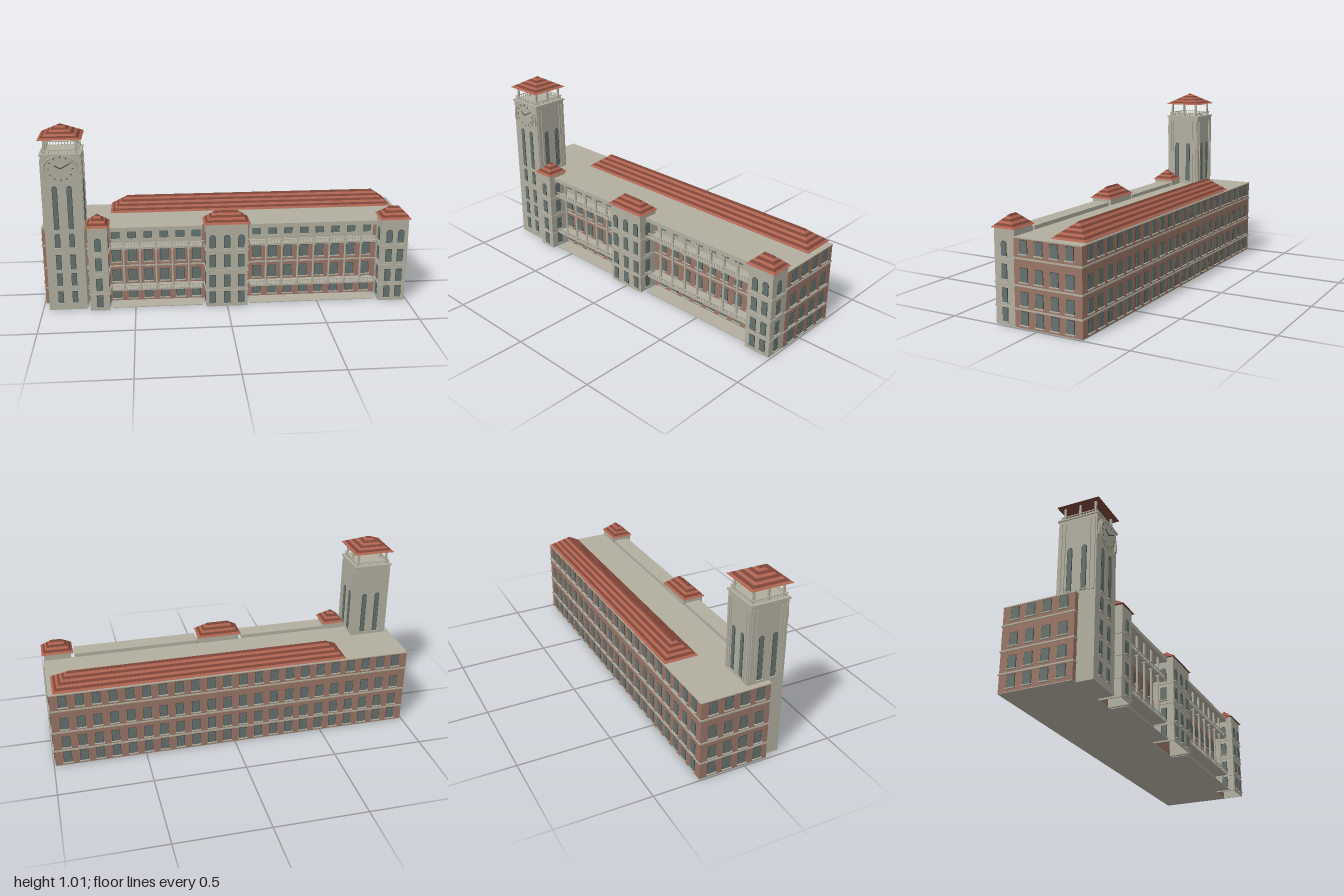
import * as THREE from 'three';
import { mergeGeometries } from 'three/addons/utils/BufferGeometryUtils.js';

const paint = (name, color, side = THREE.FrontSide) => {
  const m = new THREE.MeshStandardMaterial({ color, side });
  m.name = name;
  return m;
};

export function createModel() {
  const model = new THREE.Group();
  model.name = 'galleriedBuildingWithClockTower';
  const stone = paint('stone', 0xb2afa0), brick = paint('brick', 0x9a7767);
  const tile = paint('roofTile', 0xac6350, THREE.DoubleSide);
  const darkTile = paint('darkRoofTile', 0x7c4437, THREE.DoubleSide);
  const glass = paint('glass', 0x64736f), frame = paint('frame', 0x4b4a44);

  // Pieces sharing a part name are merged into one mesh
  const parts = new Map();
  const add = (name, mat, geo) => {
    const g = geo.index ? geo.toNonIndexed() : geo;
    g.deleteAttribute('uv');
    if (!parts.has(name)) parts.set(name, { mat, list: [] });
    parts.get(name).list.push(g);
  };
  // Box given by its limits
  const box = (name, mat, x0, x1, y0, y1, z0, z1) =>
    add(name, mat, new THREE.BoxGeometry(x1 - x0, y1 - y0, z1 - z0)
      .translate((x0 + x1) / 2, (y0 + y1) / 2, (z0 + z1) / 2));

  // Thin upright panel on its base line, square or round headed
  const panel = (w, h, depth, arched) => {
    const s = new THREE.Shape(), r = w / 2, top = arched ? h - r : h;
    s.moveTo(-r, 0).lineTo(r, 0).lineTo(r, top);
    if (arched) s.absarc(0, top, r, 0, Math.PI, false);
    else s.lineTo(-r, top);
    s.closePath();
    return new THREE.ExtrudeGeometry(s, { depth, bevelEnabled: false, curveSegments: 6 });
  };
  // turn 0 faces front, 1 faces +x, 2 faces back, 3 faces -x
  const windowAt = (turn, x, y, z, w, h, arched = false, sill = true) => {
    const place = g => g.rotateY(turn * Math.PI / 2).translate(x, y, z);
    add('windowFrames', frame, place(panel(w + 0.005, h + 0.003, 0.002, arched)));
    add('windowPanes', glass, place(panel(w, h, 0.004, arched)));
    if (sill) add('windowSills', stone, place(
      new THREE.BoxGeometry(w + 0.012, 0.005, 0.014).translate(0, -0.0025, 0.003)));
  };

  // Hipped roof in alternating tile courses
  const hipRoof = (name, x0, x1, z0, z1, y0, y1, inset, rows) => {
    const zc = (z1 - z0) / 2;
    const ring = t => {
      const y = y0 + (y1 - y0) * t, a = inset * t, b = zc * t;
      return [[x0 + a, y, z1 - b], [x1 - a, y, z1 - b], [x1 - a, y, z0 + b], [x0 + a, y, z0 + b]];
    };
    const quads = (list) => {
      const g = new THREE.BufferGeometry();
      const p = list.flatMap(([a, b, c, d]) => [a, b, c, a, c, d].flat());
      g.setAttribute('position', new THREE.Float32BufferAttribute(p, 3));
      g.computeVertexNormals();
      return g;
    };
    for (let i = 0; i < rows; i++) {
      const lo = ring(i / rows), hi = ring((i + 1) / rows);
      add(name + (i % 2 ? 'DarkCourses' : 'Courses'), i % 2 ? darkTile : tile,
        quads([0, 1, 2, 3].map(k => [lo[k], lo[(k + 1) % 4], hi[(k + 1) % 4], hi[k]])));
    }
    const e = ring(0);
    add(name + 'Soffit', darkTile, quads([[e[3], e[2], e[1], e[0]]]));
  };

  // Main block
  const X = 0.992, ZB = -0.25, ZF = 0.13;
  box('mainWalls', brick, -X, X, 0.003, 0.437, ZB, ZF);
  box('basePlate', stone, -X, X, 0, 0.003, ZB, ZF);
  box('flatRoof', stone, -X - 0.002, X + 0.002, 0.437, 0.442, ZB - 0.003, ZF + 0.002);
  for (const y of [0.095, 0.21, 0.342])
    box('stringCourses', stone, -X - 0.004, X + 0.004, y - 0.004, y + 0.004, ZB - 0.004, ZF + 0.004);
  hipRoof('mainRoof', -0.63, 0.97, -0.255, -0.065, 0.45, 0.525, 0.095, 8);
  box('roofCurb', stone, -0.6, 0.945, 0.44, 0.45, -0.245, -0.085);

  // Windows on the back and both ends
  const rows = [[0.02, 0.064], [0.115, 0.064], [0.23, 0.066], [0.365, 0.064]];
  for (const [y, h] of rows) {
    for (let i = 0; i < 22; i++) windowAt(2, -0.924 + i * 0.088, y, ZB, 0.04, h);
    for (const z of [0.073, -0.014, -0.1, -0.185]) {
      windowAt(1, X, y, z, 0.04, h);
      windowAt(3, -X, y, z, 0.04, h);
    }
  }

  // Galleries between the pavilions
  const gallery = (x0, x1, first, count) => {
    const zs = 0.22, step = 0.0875;
    box('terrace', stone, x0, x1, 0, 0.004, ZF, zs);
    box('galleryRoof', stone, x0, x1, 0.44, 0.462, ZF, zs);
    box('upperGalleryWall', stone, x0, x1, 0.342, 0.438, ZF, ZF + 0.003);
    for (const y of [0.094, 0.334]) {
      box('galleryFloors', stone, x0, x1, y, y + 0.01, ZF, 0.208);
      box('galleryRails', stone, x0, x1, y + 0.027, y + 0.031, 0.2, 0.206);
      const n = Math.round((x1 - x0) / 0.016);
      for (let i = 0; i <= n; i++) {
        const x = x0 + 0.003 + (x1 - x0 - 0.006) * i / n;
        box('balusters', stone, x - 0.002, x + 0.002, y + 0.01, y + 0.027, 0.201, 0.205);
      }
    }
    for (let i = 0; i < count; i++) {
      const x = first + i * step;
      for (const [y, h] of rows) windowAt(0, x, y + (y > 0.1 ? 0.006 : 0), ZF + (y > 0.3 ? 0.003 : 0), 0.042, h);
      if (i === count - 1) continue;
      const c = x + step / 2;
      add('galleryColumns', stone, new THREE.CylinderGeometry(0.0055, 0.0065, 0.23, 8).translate(c, 0.219, 0.197));
      box('columnBlocks', stone, c - 0.009, c + 0.009, 0.326, 0.334, 0.188, 0.206);
      box('columnBlocks', stone, c - 0.009, c + 0.009, 0.104, 0.112, 0.188, 0.206);
      box('upperPosts', stone, c - 0.005, c + 0.005, 0.344, 0.44, 0.192, 0.202);
    }
  };
  gallery(-0.625, -0.133, -0.6, 6);
  gallery(0.13, 0.822, 0.172, 8);

  // Pavilions: hollow stone shells with hipped roofs
  const pavilion = (x0, x1, inset, cols) => {
    const zf = 0.246, t = 0.006;
    box('pavilionWalls', stone, x0, x1, 0, 0.476, zf - t, zf);
    box('pavilionWalls', stone, x0, x0 + t, 0, 0.476, ZF, zf - t);
    box('pavilionWalls', stone, x1 - t, x1, 0, 0.476, ZF, zf - t);
    box('pavilionWalls', stone, x0, x1, 0.44, 0.476, ZF - 0.003, ZF + t);
    for (const y of [0.095, 0.21, 0.325]) {
      box('pavilionBands', stone, x0 - 0.004, x1 + 0.004, y - 0.003, y + 0.003, zf - t, zf + 0.004);
      for (const x of [x0 - 0.004, x1 - t])
        box('pavilionBands', stone, x, x + t + 0.004, y - 0.003, y + 0.003, ZF, zf - t);
    }
    hipRoof('pavilionRoof', x0 - 0.012, x1 + 0.012, 0.122, 0.256, 0.475, 0.535, inset, 6);
    for (const [y, h, arch] of [[0.02, 0.065], [0.115, 0.068], [0.23, 0.07], [0.342, 0.07, true]]) {
      for (const x of cols) windowAt(0, x, y, zf, 0.03, h, arch);
      windowAt(1, x1, y, 0.19, 0.028, h, arch);
      windowAt(3, x0, y, 0.19, 0.028, h, arch);
    }
  };
  pavilion(-0.742, -0.638, 0.064, [-0.69]);
  pavilion(-0.115, 0.11, 0.066, [-0.08, -0.002, 0.075]);
  pavilion(0.842, 0.988, 0.06, [0.885, 0.948]);

  // Clock tower shaft
  const tx = -0.862, tz = 0.115, r = 0.102;
  box('towerShaft', stone, tx - r, tx + r, 0, 0.862, tz - r, tz + r);
  box('towerCornice', stone, tx - r - 0.006, tx + r + 0.006, 0.862, 0.871, tz - r - 0.006, tz + r + 0.006);
  for (let k = 0; k < 4; k++) {
    const a = k * Math.PI / 2;
    const at = (u, d) => [tx + u * Math.cos(a) + d * Math.sin(a), tz - u * Math.sin(a) + d * Math.cos(a)];
    for (const s of [-1, 1]) {
      const [wx, wz] = at(s * 0.038, r);
      windowAt(k, wx, 0.462, wz, 0.022, 0.235, true);
      // Raised strips beside the corners
      if (k) for (const [u, w] of [[0.088, 0.014], [0.067, 0.008]]) {
        const [px, pz] = at(s * u, r);
        add('towerPilasters', stone, new THREE.BoxGeometry(w, 0.39, 0.01)
          .rotateY(a).translate(px, 0.645, pz));
      }
    }
    // Belfry railing
    const [rx, rz] = at(0, r - 0.008);
    add('belfryRailing', stone, new THREE.BoxGeometry(0.19, 0.004, 0.005).rotateY(a).translate(rx, 0.89, rz));
    for (let i = 0; i < 12; i++) {
      const [bx, bz] = at(-0.088 + i * 0.016, r - 0.008);
      add('belfryRailing', stone, new THREE.BoxGeometry(0.003, 0.018, 0.003).translate(bx, 0.88, bz));
    }
    // Belfry posts at the corners and side middles
    for (const u of [-0.082, 0]) {
      if (u === 0 && k % 2 === 0) continue;
      const [cx, cz] = at(u, 0.082);
      box('belfryPosts', stone, cx - 0.005, cx + 0.005, 0.87, 0.947, cz - 0.005, cz + 0.005);
    }
  }
  for (const [y, h] of [[0.04, 0.065], [0.14, 0.07], [0.235, 0.08], [0.36, 0.075]])
    for (const s of [-1, 1]) windowAt(0, tx + s * 0.038, y, tz + r, 0.024, h, y > 0.3);
  hipRoof('towerRoof', tx - 0.113, tx + 0.113, tz - 0.113, tz + 0.113, 0.945, 1.01, 0.113, 8);

  // Clock with hood, hour marks and hands
  const cy = 0.795, cz = tz + r;
  add('clockFace', stone, new THREE.CylinderGeometry(0.073, 0.073, 0.008, 32)
    .rotateX(Math.PI / 2).translate(tx, cy, cz + 0.004));
  add('clockHood', stone, new THREE.TorusGeometry(0.088, 0.006, 6, 24, Math.PI)
    .scale(1, 0.75, 1).translate(tx, cy, cz + 0.003));
  for (const s of [-1, 1])
    box('clockHoodSides', stone, tx + s * 0.088 - 0.006, tx + s * 0.088 + 0.006, 0.748, cy, cz, cz + 0.009);
  for (let i = 0; i < 12; i++)
    add('hourMarks', frame, new THREE.BoxGeometry(0.004, 0.01, 0.002).translate(0, 0.062, 0)
      .rotateZ(i * Math.PI / 6).translate(tx, cy, cz + 0.009));
  for (const [len, turn] of [[0.036, 1.05], [0.052, -1.05]])
    add('clockHands', frame, new THREE.BoxGeometry(0.005, len, 0.002).translate(0, len / 2, 0)
      .rotateZ(turn).translate(tx, cy, cz + 0.009));

  for (const [name, { mat, list }] of parts) {
    const mesh = new THREE.Mesh(mergeGeometries(list), mat);
    mesh.name = name;
    model.add(mesh);
  }
  return model;
}
